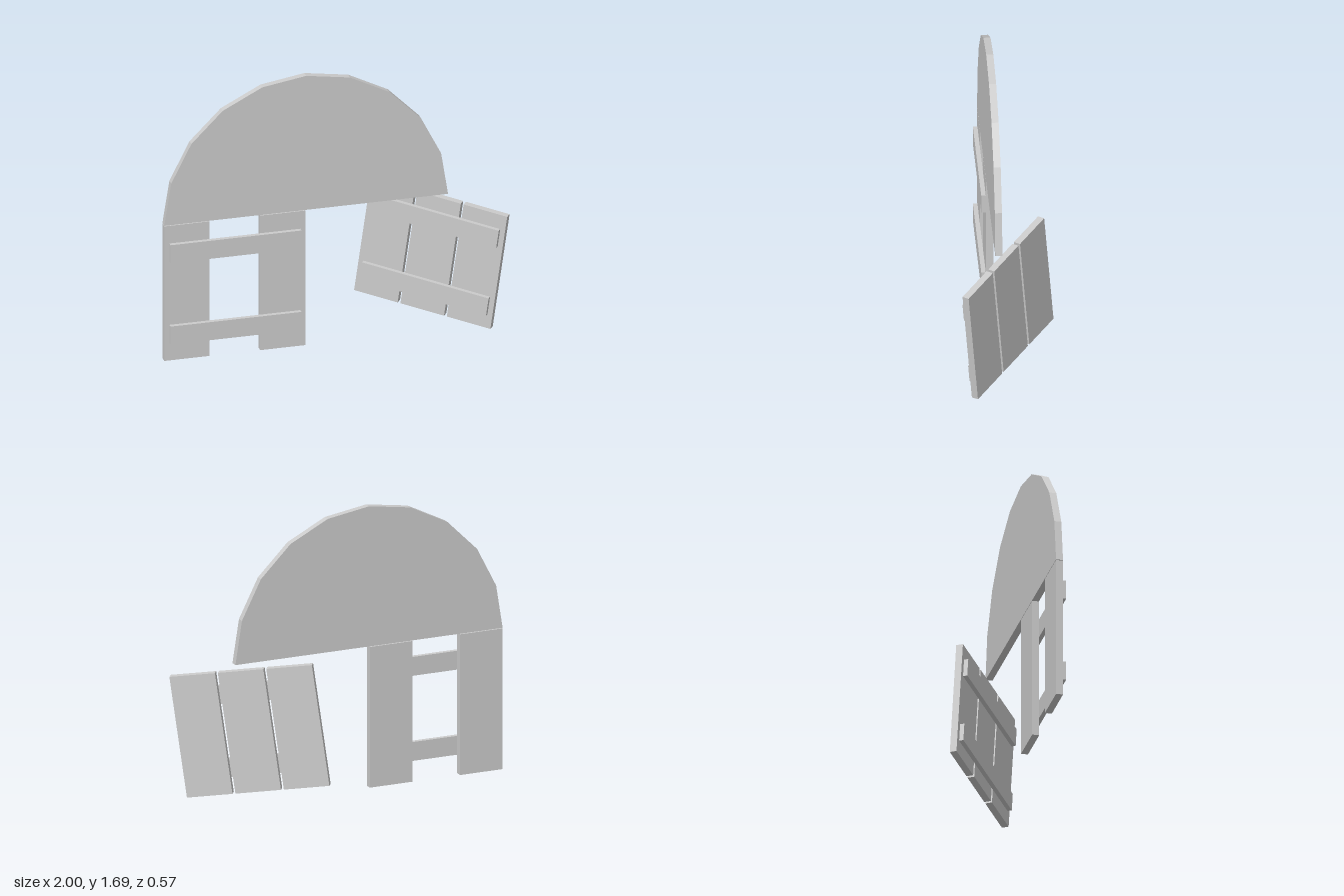
import * as THREE from 'three';

const material = new THREE.MeshStandardMaterial({ color: 0xcccccc, flatShading: true });
const THICK = 0.041;      // plank thickness
const PLANK_W = 0.267;
const PITCH = 0.284;      // plank width plus gap
const BAR_W = 0.775;
const BAR_DEPTH = 0.026;

function addBox(parent, name, size, position) {
  const mesh = new THREE.Mesh(new THREE.BoxGeometry(...size), material);
  mesh.name = name;
  mesh.position.set(...position);
  parent.add(mesh);
}

// Plank panel centred on its origin, with two cross bars on the front
function makePanel(name, height, columns, barY, barHeight) {
  const panel = new THREE.Group();
  panel.name = name;
  for (const c of columns) addBox(panel, 'plank', [PLANK_W, height, THICK], [c * PITCH, 0, 0]);
  for (const s of [1, -1]) {
    addBox(panel, 'crossBar', [BAR_W, barHeight, BAR_DEPTH], [0, s * barY, (THICK + BAR_DEPTH) / 2]);
  }
  return panel;
}

export function createModel() {
  const model = new THREE.Group();
  model.name = 'brokenShutters';
  const wallZ = 0.054;

  // Half-round top board, ten straight segments
  const R = 0.84, points = [];
  for (let i = 0; i <= 10; i++) {
    const a = (i / 10) * Math.PI;
    points.push(new THREE.Vector2(R * Math.cos(a), R * Math.sin(a)));
  }
  const archGeometry = new THREE.ExtrudeGeometry(new THREE.Shape(points), { depth: THICK, bevelEnabled: false });
  const arch = new THREE.Mesh(archGeometry, material);
  arch.name = 'archBoard';
  arch.position.set(-0.16, 0.847, wallZ - THICK / 2);
  model.add(arch);

  // Upright panel with its middle plank missing
  const upright = makePanel('uprightPanel', 0.843, [-1, 1], 0.255, 0.113);
  upright.position.set(-0.5825, 0.4215, wallZ);
  model.add(upright);

  // Loose panel, swung open and sagging
  const loose = makePanel('loosePanel', 0.725, [-1, 0, 1], 0.219, 0.112);
  loose.rotation.set(0, THREE.MathUtils.degToRad(-35), THREE.MathUtils.degToRad(-8.1), 'YXZ');
  loose.position.set(0.605, 0.457, -0.003);
  model.add(loose);

  return model;
}
